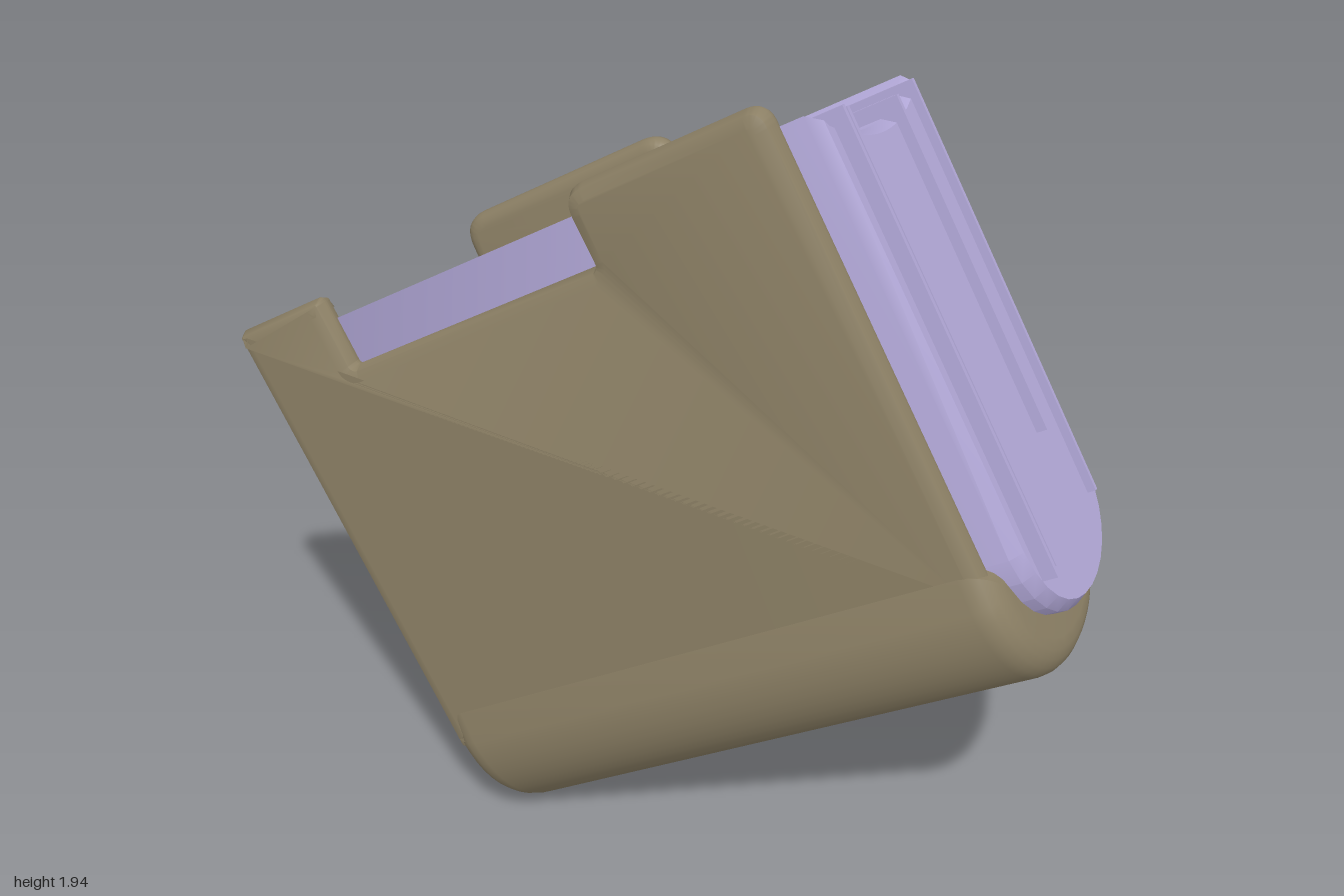
import * as THREE from 'three';
import { toCreasedNormals } from 'three/addons/utils/BufferGeometryUtils.js';

const coverMat = new THREE.MeshStandardMaterial({ color: 0x8c8065 });
const pageMat = new THREE.MeshStandardMaterial({ color: 0xb3a9d9 });

// Extrude whose bevel stays inside the outline, centred bevels included in depth
function bevelled(shape, depth, bevel, segments, bevelDepth = bevel) {
  const g = new THREE.ExtrudeGeometry(shape, {
    depth: depth - 2 * bevelDepth, bevelEnabled: true, bevelSize: bevel, bevelOffset: -bevel,
    bevelThickness: bevelDepth, bevelSegments: segments, curveSegments: 14,
  });
  g.translate(0, 0, bevelDepth);
  return toCreasedNormals(g, 0.6);
}

// Polygon outline with softened corners: points are [x, y, radius]
function roundedOutline(points) {
  const shape = new THREE.Shape();
  const n = points.length;
  points.forEach(([x, y, r], i) => {
    const p = new THREE.Vector2(x, y);
    const toward = (q) => new THREE.Vector2(q[0], q[1]).sub(p).setLength(r).add(p);
    const a = toward(points[(i + n - 1) % n]);
    const b = toward(points[(i + 1) % n]);
    if (i === 0) shape.moveTo(a.x, a.y); else shape.lineTo(a.x, a.y);
    shape.quadraticCurveTo(x, y, b.x, b.y);
  });
  shape.closePath();
  return shape;
}

export function createModel() {
  const group = new THREE.Group();
  group.name = 'book';

  // Local frame: x along the spine, y from spine to fore edge, z out of the front cover
  const S = new THREE.Vector3(0.805, 0.5, -0.32).normalize();
  const N = S.clone().cross(new THREE.Vector3(-0.491, 0.862, 0.121)).normalize();
  const U = N.clone().cross(S);
  const book = new THREE.Group();
  book.name = 'tiltedBook';
  book.quaternion.setFromRotationMatrix(new THREE.Matrix4().makeBasis(S, U, N));
  group.add(book);

  const add = (name, geometry, material, x = 0, y = 0, z = 0) => {
    const mesh = new THREE.Mesh(geometry, material);
    mesh.name = name;
    mesh.position.set(x, y, z);
    book.add(mesh);
  };

  // Front cover with a wide notch in its fore edge
  const front = roundedOutline([
    [-0.265, 0.36, 0.02], [1.22, 0.36, 0.02], [1.22, 1.515, 0.05], [0.705, 1.515, 0.06],
    [0.705, 1.34, 0.01], [0.0, 1.34, 0.01], [0.0, 1.515, 0.015], [-0.265, 1.515, 0.015],
  ]);
  add('frontCover', bevelled(front, 0.075, 0.035, 2), coverMat, 0, 0, 0.283);

  // Back cover with a matching tab
  const back = roundedOutline([
    [-0.255, 0.28, 0.05], [1.22, 0.28, 0.05], [1.22, 1.33, 0.12], [0.69, 1.33, 0.03],
    [0.68, 1.5, 0.07], [0.05, 1.5, 0.07], [0.04, 1.33, 0.03], [-0.255, 1.33, 0.12],
  ]);
  add('backCover', bevelled(back, 0.065, 0.035, 4, 0.03), coverMat, 0, 0, -0.277);

  // Rounded spine: profile drawn across the thickness, extruded along the length
  const spine = new THREE.Shape();
  spine.moveTo(-0.36, 0.46);
  spine.lineTo(-0.368, 0.38);
  spine.bezierCurveTo(-0.365, 0.22, -0.25, 0.11, -0.06, 0.105);
  spine.bezierCurveTo(0.14, 0.105, 0.277, 0.2, 0.277, 0.38);
  spine.lineTo(0.277, 0.46);
  spine.closePath();
  add('spine', bevelled(spine, 1.51, 0.07, 5).rotateY(Math.PI / 2), coverMat, -0.27, 0, 0);

  // Page block: rounded at the spine, hollow at the fore edge
  const pages = new THREE.Shape();
  pages.moveTo(-0.305, 1.455);
  pages.lineTo(-0.305, 0.45);
  pages.bezierCurveTo(-0.28, 0.15, 0.22, 0.15, 0.24, 0.42);
  pages.lineTo(0.232, 1.4);
  pages.quadraticCurveTo(-0.04, 1.28, -0.305, 1.455);
  add('pageBlock', bevelled(pages, 1.585, 0.02, 1, 0.03).rotateY(Math.PI / 2), pageMat, -0.285, 0, 0);

  // Loose sheets standing proud of the block: [z, x0, x1, y0, y1]
  const sheets = [
    [0.255, 0.0, 1.335, 0.37, 1.44],
    [0.215, -0.2, 1.325, 0.38, 1.43],
    [0.17, -0.325, 1.18, 0.36, 1.41],
    [0.245, -0.31, 0.9, 0.4, 1.435],
    [0.005, -0.31, 1.22, 0.4, 1.375],
    [-0.04, 0.5, 1.325, 0.59, 1.385],
    [-0.07, -0.345, 1.17, 0.34, 1.375],
    [-0.165, 0.3, 1.32, 0.38, 1.39],
    [-0.2, -0.31, 0.8, 0.4, 1.385],
  ];
  for (const [z, x0, x1, y0, y1] of sheets) {
    add('looseSheet', new THREE.BoxGeometry(x1 - x0, y1 - y0, 0.012), pageMat, (x0 + x1) / 2, (y0 + y1) / 2, z);
  }

  return group;
}
